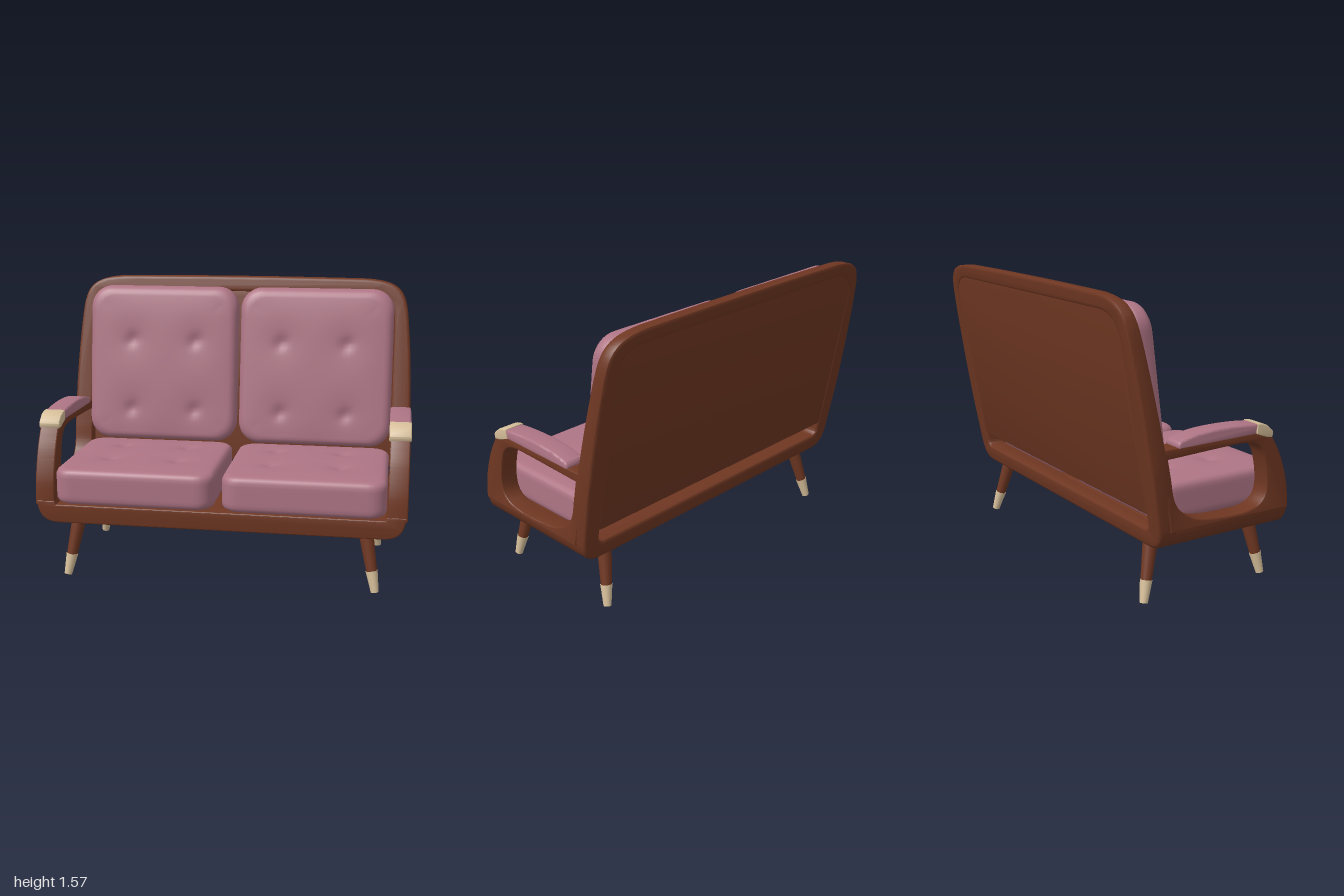
import * as THREE from 'three';
import { mergeVertices, toCreasedNormals } from 'three/addons/utils/BufferGeometryUtils.js';

const V2 = (x, y) => new THREE.Vector2(x, y);
const mat = (name, color, side = THREE.FrontSide) => {
  const m = new THREE.MeshStandardMaterial({ color, side });
  m.name = name;
  return m;
};

export function createModel() {
  const wood = mat('walnut wood', 0x6f3722);
  const fabric = mat('rose fabric', 0xae7585);
  const trim = mat('pale beech trim', 0xd6bf9a);
  const model = new THREE.Group();
  model.name = 'twoSeatSofa';

  const add = (name, geometry, material) => {
    const mesh = new THREE.Mesh(geometry, material);
    mesh.name = name;
    model.add(mesh);
    return mesh;
  };
  const extrude = (shape, depth, bevel) => new THREE.ExtrudeGeometry(shape, {
    depth: depth - 2 * bevel, bevelSize: bevel, bevelThickness: bevel,
    bevelOffset: -bevel, bevelSegments: 3, curveSegments: 14,
  }).translate(0, 0, bevel);
  const crease = (g) => toCreasedNormals(g, 0.6);

  // Side profiles are drawn as (z, y) and given a width along x
  const sidePart = (name, shape, xMin, xMax, bevel, material) => {
    for (const s of [1, -1]) {
      const g = extrude(shape, xMax - xMin, bevel).rotateY(-Math.PI / 2);
      g.translate(s > 0 ? xMax : -xMin, 0, 0);
      add(s > 0 ? `left${name}` : `right${name}`, crease(g), material);
    }
  };

  // Leaning back: front and rear planes as functions of height
  const rearZ = (y) => -0.298 - 0.176 * (y - 0.31);
  const frontZ = (y) => -0.18 - 0.213 * (y - 0.31);
  const lean = (g, depth, zRear, zFront) => {
    const p = g.attributes.position;
    for (let i = 0; i < p.count; i++) {
      const y = p.getY(i);
      p.setZ(i, THREE.MathUtils.lerp(zRear(y), zFront(y), p.getZ(i) / depth));
    }
    return crease(g);
  };

  // Back frame: rounded ring
  const ring = new THREE.Shape();
  ring.moveTo(-0.87, 0.31).lineTo(0.87, 0.31);
  ring.bezierCurveTo(0.95, 0.312, 0.98, 0.35, 0.988, 0.43);
  ring.lineTo(0.998, 0.7);
  ring.bezierCurveTo(1.0, 0.95, 0.985, 1.2, 0.967, 1.36);
  ring.bezierCurveTo(0.95, 1.5, 0.91, 1.55, 0.72, 1.56);
  ring.quadraticCurveTo(0, 1.57, -0.72, 1.56);
  ring.bezierCurveTo(-0.91, 1.55, -0.95, 1.5, -0.967, 1.36);
  ring.bezierCurveTo(-0.985, 1.2, -1.0, 0.95, -0.998, 0.7);
  ring.lineTo(-0.988, 0.43);
  ring.bezierCurveTo(-0.98, 0.35, -0.95, 0.312, -0.87, 0.31);
  const opening = (y0, y1, r0, r1, w) => (path) => {
    path.moveTo(-w + r0, y0).lineTo(w - r0, y0);
    path.quadraticCurveTo(w, y0, w, y0 + r0).lineTo(w, y1 - r1);
    path.quadraticCurveTo(w, y1, w - r1, y1).lineTo(-w + r1, y1);
    path.quadraticCurveTo(-w, y1, -w, y1 - r1).lineTo(-w, y0 + r0);
    path.quadraticCurveTo(-w, y0, -w + r0, y0);
    return path;
  };
  ring.holes.push(opening(0.41, 1.48, 0.04, 0.16, 0.89)(new THREE.Path()));
  add('backFrame', lean(extrude(ring, 0.12, 0.018), 0.12, rearZ, frontZ), wood);

  // Back panel, leaving a slot above the bottom rail
  const panel = opening(0.49, 1.5, 0.02, 0.16, 0.9)(new THREE.Shape());
  add('backPanel', lean(extrude(panel, 0.03, 0.004), 0.03,
    (y) => rearZ(y) + 0.004, (y) => rearZ(y) + 0.04), wood);

  // Seat base with rounded lower corners
  const tray = new THREE.Shape();
  tray.moveTo(-0.87, 0.31).lineTo(0.87, 0.31);
  tray.bezierCurveTo(0.95, 0.312, 0.98, 0.35, 0.988, 0.43);
  tray.lineTo(0.89, 0.43).lineTo(0.88, 0.41).lineTo(-0.88, 0.41);
  tray.lineTo(-0.89, 0.43).lineTo(-0.988, 0.43);
  tray.bezierCurveTo(-0.98, 0.35, -0.95, 0.312, -0.87, 0.31);
  add('seatBase', crease(extrude(tray, 0.725, 0.006).translate(0, 0, -0.24)), wood);

  // Side frames: front post and arm rail around an open window
  const side = new THREE.Shape();
  side.moveTo(-0.25, 0.41).lineTo(0.484, 0.41);
  side.splineThru([V2(0.472, 0.54), V2(0.43, 0.68), V2(0.385, 0.77), V2(0.355, 0.815)]);
  side.lineTo(0.27, 0.842).lineTo(-0.2, 0.832).lineTo(-0.33, 0.832);
  const windowHole = new THREE.Path();
  windowHole.moveTo(-0.275, 0.782);
  windowHole.splineThru([V2(-0.255, 0.68), V2(-0.235, 0.58), V2(-0.195, 0.515),
    V2(-0.1, 0.457), V2(0.06, 0.436), V2(0.2, 0.436), V2(0.3, 0.465), V2(0.338, 0.54),
    V2(0.325, 0.67), V2(0.285, 0.76), V2(0.2, 0.795), V2(0, 0.793)]);
  side.holes.push(windowHole);
  sidePart('SideFrame', side, 0.89, 0.994, 0.007, wood);

  // Arm pads
  const pad = new THREE.Shape();
  pad.moveTo(0.258, 0.832).lineTo(0.265, 0.882);
  pad.splineThru([V2(0.15, 0.891), V2(0, 0.892), V2(-0.12, 0.882), V2(-0.205, 0.862)]);
  pad.quadraticCurveTo(-0.225, 0.845, -0.215, 0.825);
  sidePart('ArmPad', pad, 0.884, 0.998, 0.012, fabric);

  // Arm end caps
  const cap = new THREE.Shape();
  cap.moveTo(0.258, 0.832).lineTo(0.33, 0.807).lineTo(0.358, 0.803);
  cap.quadraticCurveTo(0.37, 0.825, 0.36, 0.84).lineTo(0.325, 0.87);
  cap.quadraticCurveTo(0.3, 0.884, 0.262, 0.886);
  sidePart('ArmCap', cap, 0.884, 0.999, 0.006, trim);

  // Tufted cushion: a box rounded in plan and along its edges, thin along y
  const cushion = (w, h, d, R, e, crown, buttons) => {
    const g = new THREE.BoxGeometry(2, 2, 2, 36, 12, 36);
    g.deleteAttribute('normal');
    g.deleteAttribute('uv');
    const geo = mergeVertices(g);
    const p = geo.attributes.position;
    const hw = w / 2, hh = h / 2, hd = d / 2;
    for (let i = 0; i < p.count; i++) {
      const u = p.getX(i), v = p.getZ(i);
      let y = hh * Math.sin(p.getY(i) * Math.PI / 2);
      let x = u * hw, z = v * hd;
      const cx = THREE.MathUtils.clamp(x, R - hw, hw - R);
      const cz = THREE.MathUtils.clamp(z, R - hd, hd - R);
      const dx = x - cx, dz = z - cz, len = Math.hypot(dx, dz);
      if (len > 0) {
        const k = Math.max(Math.abs(dx), Math.abs(dz)) / len;
        x = cx + dx * k;
        z = cz + dz * k;
      }
      const t = Math.min(1, Math.max(0, (Math.abs(y) - hh + e) / e));
      const inset = e * (1 - Math.sqrt(1 - t * t));
      x *= 1 - inset / hw;
      z *= 1 - inset / hd;
      if (p.getY(i) > 0.99) {
        y += crown * (1 - u ** 4) * (1 - v ** 4);
        for (const [bx, bz] of buttons) {
          const r2 = (x - bx) ** 2 + (z - bz) ** 2;
          y -= 0.016 * Math.exp(-r2 / 0.0012) + 0.008 * Math.exp(-r2 / 0.012);
        }
      }
      p.setXYZ(i, x, y, z);
    }
    return geo;
  };

  for (const s of [1, -1]) {
    const label = s > 0 ? 'left' : 'right';
    const grid = (a, b) => [[-0.195, a], [0.18, a], [-0.195, b], [0.18, b]].map(([x, z]) => [x * s, z]);

    const seat = cushion(0.865, 0.195, 0.765, 0.09, 0.035, 0.012, grid(-0.18, 0.11));
    seat.translate(s * 0.453, 0.517, 0.132);
    seat.computeVertexNormals();
    add(`${label}SeatCushion`, seat, fabric);

    const back = cushion(0.878, 0.13, 0.89, 0.12, 0.05, 0.012, grid(-0.14, 0.26));
    back.rotateX(Math.PI / 2).translate(s * 0.447, 1.066, 0);
    const p = back.attributes.position;
    for (let i = 0; i < p.count; i++) {
      p.setZ(i, p.getZ(i) - 0.24 - 0.135 * (p.getY(i) - 0.62));
    }
    back.computeVertexNormals();
    add(`${label}BackCushion`, back, fabric);
  }

  // Splayed tapered legs with pale tips
  const rod = (name, a, b, ra, rb, material) => {
    const dir = b.clone().sub(a);
    const mesh = add(name, new THREE.CylinderGeometry(rb, ra, dir.length(), 20), material);
    mesh.position.copy(a).addScaledVector(dir, 0.5);
    mesh.quaternion.setFromUnitVectors(new THREE.Vector3(0, 1, 0), dir.normalize());
  };
  for (const s of [1, -1]) {
    for (const [name, zTop, zFoot] of [['front', 0.385, 0.447], ['back', -0.222, -0.302]]) {
      const label = (s > 0 ? 'left' : 'right') + (name === 'front' ? 'Front' : 'Back');
      const foot = new THREE.Vector3(s * 0.838, 0.004, zFoot);
      const top = new THREE.Vector3(s * 0.778, 0.33, zTop);
      const joint = foot.clone().lerp(top, 0.34);
      rod(`${label}Leg`, joint, top, 0.029, 0.04, wood);
      rod(`${label}LegTip`, foot, joint, 0.021, 0.032, trim);
    }
  }

  return model;
}
